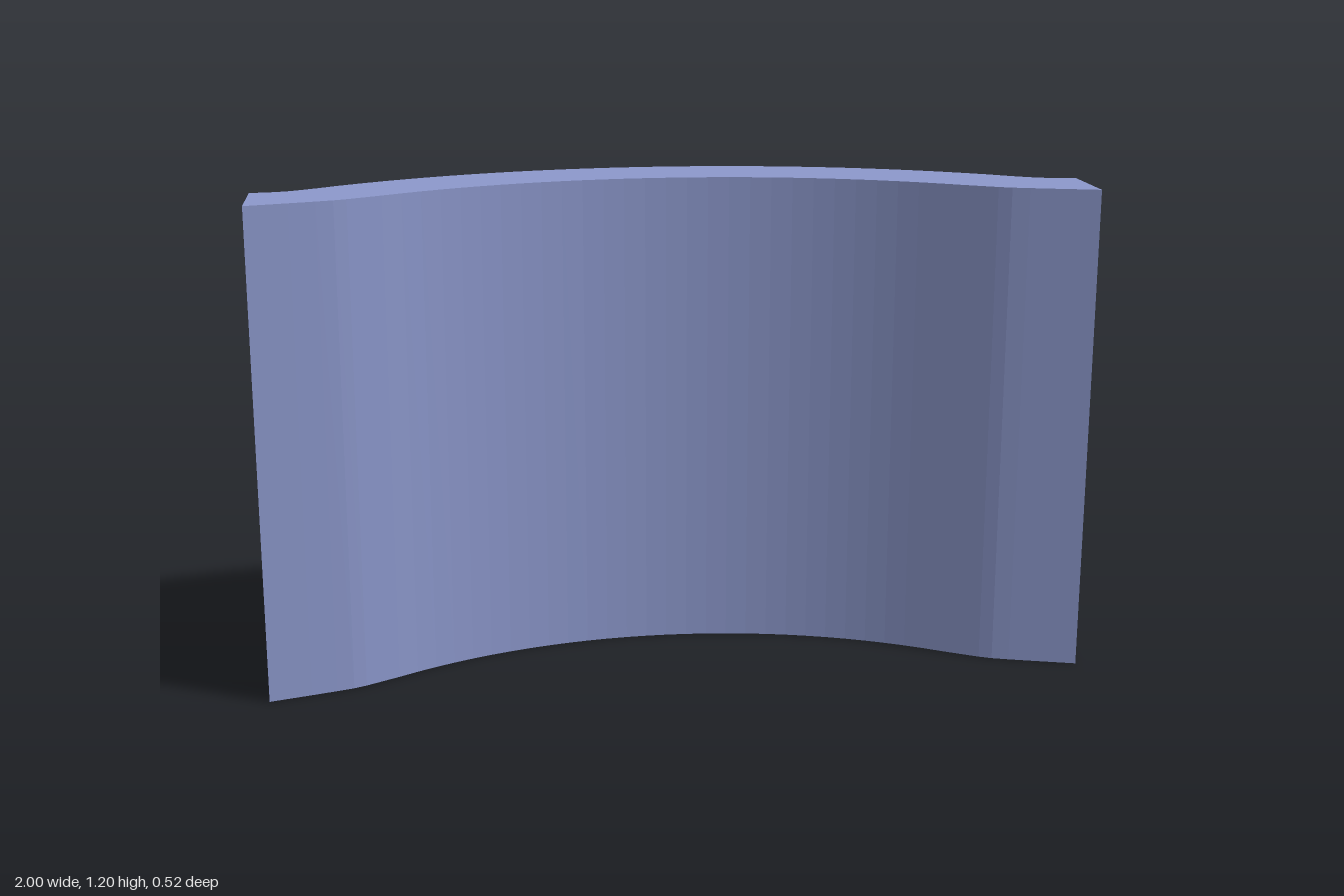
import * as THREE from 'three';

const HEIGHT = 1.2;
const ARC_CENTRE_Z = 1.206;

// Half of one long edge in plan: [x, z] from the middle out to the +x end
function halfEdge(radius, arcEndX, flare) {
  const points = [];
  const sweep = Math.asin(arcEndX / radius);
  const steps = 14;
  for (let i = 0; i <= steps; i++) {
    const a = (sweep * i) / steps;
    points.push([radius * Math.sin(a), ARC_CENTRE_Z - radius * Math.cos(a)]);
  }
  return points.concat(flare);
}

// Mirror a half edge into a full edge running from -x to +x
function fullEdge(half) {
  const mirrored = half.slice(1).reverse().map(([x, z]) => [-x, z]);
  return mirrored.concat(half);
}

export function createModel() {
  const group = new THREE.Group();
  group.name = 'curvedPanel';

  // Concentric arcs with small outward flares at both ends
  const back = fullEdge(halfEdge(1.468, 0.8, [
    [0.84, 0.004], [0.88, 0.03], [0.91, 0.046], [0.94, 0.056], [0.97, 0.061], [1, 0.062],
  ]));
  const front = fullEdge(halfEdge(1.27, 0.69, [
    [0.73, 0.163], [0.77, 0.186], [0.8, 0.2], [0.84, 0.213], [0.9, 0.231], [1, 0.26],
  ]));

  // Plan outline extruded upwards (shape y becomes -z)
  const outline = front.concat(back.reverse());
  const shape = new THREE.Shape(outline.map(([x, z]) => new THREE.Vector2(x, -z)));
  const geometry = new THREE.ExtrudeGeometry(shape, { depth: HEIGHT, bevelEnabled: false });
  geometry.rotateX(-Math.PI / 2);

  const panel = new THREE.Mesh(
    geometry,
    new THREE.MeshStandardMaterial({ color: 0x8c98cc, flatShading: true })
  );
  panel.name = 'panel';
  group.add(panel);
  return group;
}
